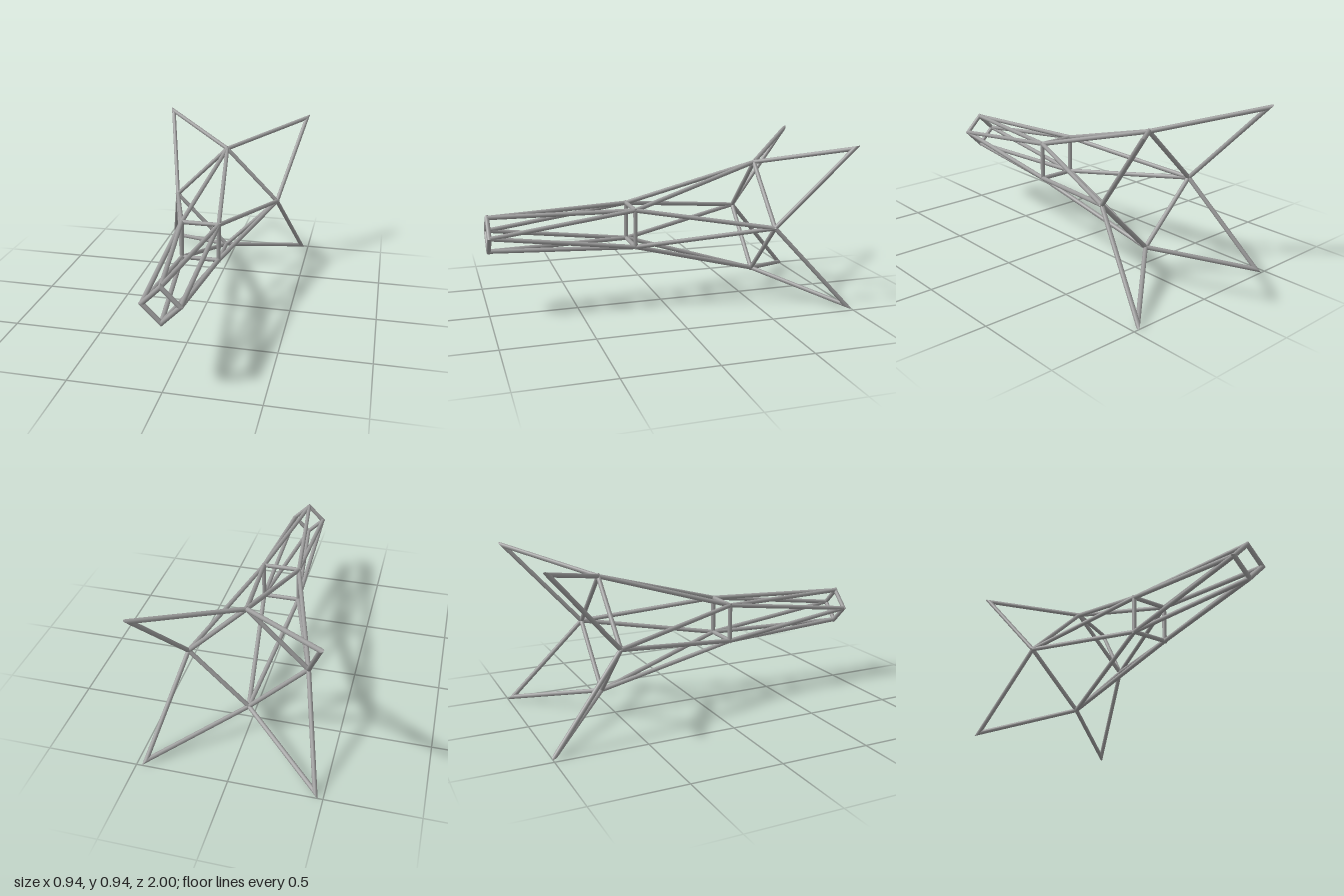
import * as THREE from 'three';

const R = 0.0125, CY = 0.471;
const steel = new THREE.MeshStandardMaterial({ color: 0x9c9c9c });
steel.name = 'grey steel';

// Round bars along a path; bars meeting inside the path are mitred, free ends are square.
function barPath(name, points, closed = false) {
  const group = new THREE.Group();
  group.name = name;
  const n = points.length, count = closed ? n : n - 1;
  const dirs = Array.from({ length: count }, (_, i) => points[(i + 1) % n].clone().sub(points[i]).normalize());
  const up = new THREE.Vector3(0, 1, 0);
  for (let i = 0; i < count; i++) {
    const a = points[i], b = points[(i + 1) % n], d = dirs[i];
    const prev = closed ? dirs[(i + count - 1) % count] : dirs[i - 1] ?? d;
    const next = closed ? dirs[(i + 1) % count] : dirs[i + 1] ?? d;
    const cutA = prev.clone().add(d), cutB = next.clone().add(d);
    const geo = new THREE.CylinderGeometry(R, R, a.distanceTo(b), 12);
    geo.applyQuaternion(new THREE.Quaternion().setFromUnitVectors(up, d));
    const mid = a.clone().add(b).multiplyScalar(0.5);
    geo.translate(mid.x, mid.y, mid.z);
    const pos = geo.attributes.position, v = new THREE.Vector3();
    for (let k = 0; k < pos.count; k++) {
      v.fromBufferAttribute(pos, k);
      const atB = v.clone().sub(mid).dot(d) > 0;
      const cut = atB ? cutB : cutA;
      const slide = -v.clone().sub(atB ? b : a).dot(cut) / d.dot(cut);
      v.addScaledVector(d, slide);
      pos.setXYZ(k, v.x, v.y, v.z);
    }
    const mesh = new THREE.Mesh(geo, steel);
    mesh.name = name + 'Bar';
    group.add(mesh);
  }
  return group;
}

// Four nodes around the long axis, starting at the given angle in eighths of a turn
const ring = (radius, z, eighth) => [0, 1, 2, 3].map(i => {
  const t = (i * 2 + eighth) * Math.PI / 4;
  return new THREE.Vector3(Math.cos(t) * radius, CY + Math.sin(t) * radius, z);
});

export function createModel() {
  const model = new THREE.Group();
  model.name = 'spaceFrame';
  const nose = ring(0.095, 0.9875, 0);
  const waist = ring(0.106 * Math.SQRT2, 0.18, 1);
  const tail = ring(0.326, -0.576, 0);
  const tips = ring(0.4535 * Math.SQRT2, -0.976, 1);

  // Cross frames
  model.add(barPath('noseFrame', nose, true));
  model.add(barPath('waistFrame', waist, true));
  model.add(barPath('tailFrame', tail, true));

  for (let i = 0; i < 4; i++) {
    const j = (i + 1) % 4;
    // Long braces from each waist corner, forward and back
    for (const k of [i, j]) {
      model.add(barPath('noseBrace', [waist[i], nose[k]]));
      model.add(barPath('tailBrace', [waist[i], tail[k]]));
    }
    // Pointed fins
    model.add(barPath('fin', [tail[i], tips[i], tail[j]]));
  }
  return model;
}
